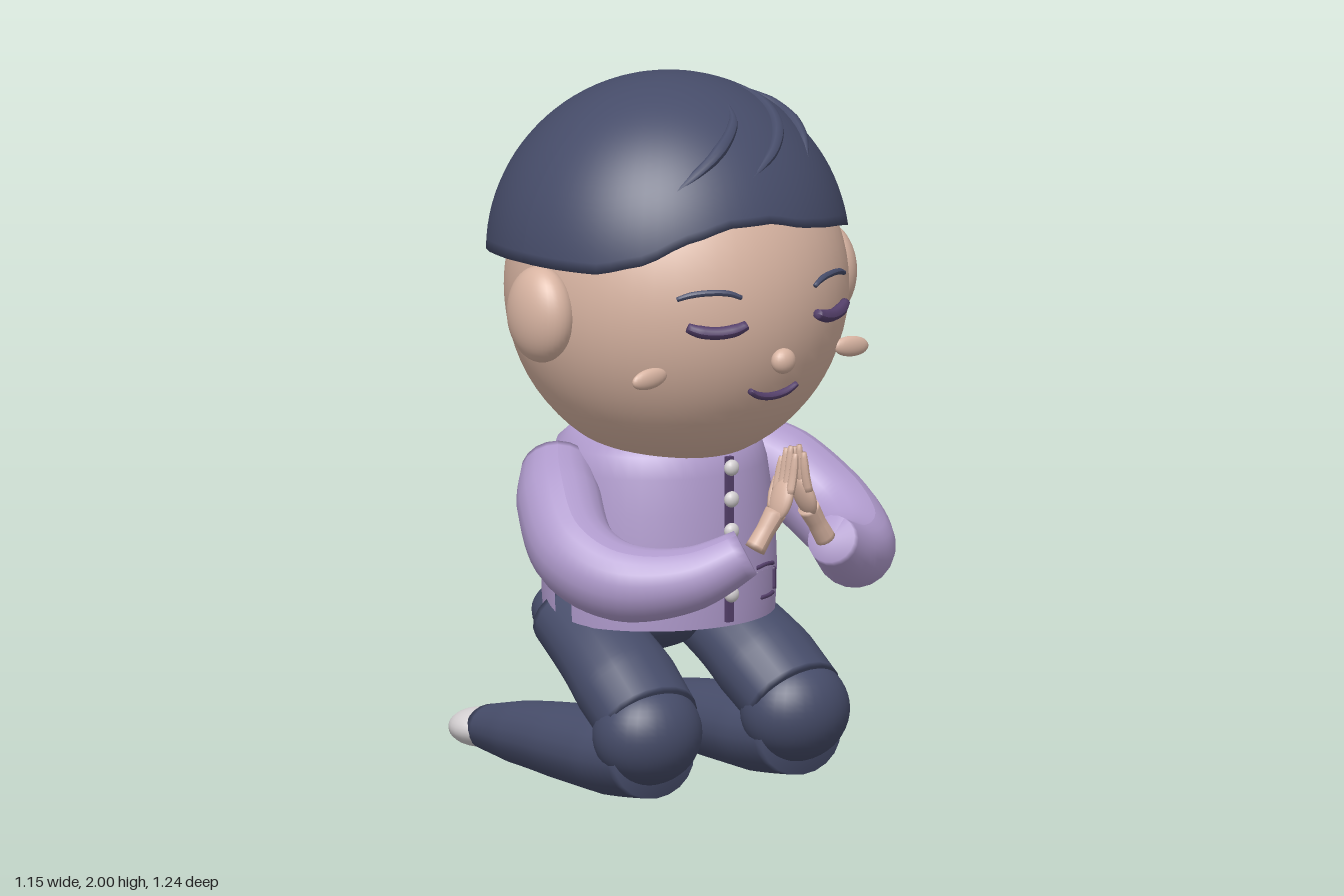
import * as THREE from 'three';

const V = (p) => new THREE.Vector3(...p);

export function createModel() {
  const model = new THREE.Group();
  const mat = (name, color, side = THREE.FrontSide) => {
    const m = new THREE.MeshStandardMaterial({ color, side });
    m.name = name;
    return m;
  };
  const skin = mat('skin', 0xd8b4a2);
  const navy = mat('navy', 0x464c69, THREE.DoubleSide);
  const lilac = mat('lilac', 0xb09bcd, THREE.DoubleSide);
  const plum = mat('plum', 0x55406b);
  const white = mat('soft white', 0xd3cfd1);

  const add = (name, geo, material, parent = model) => {
    const mesh = new THREE.Mesh(geo, material);
    mesh.name = name;
    parent.add(mesh);
    return mesh;
  };
  const ball = (name, pos, radii, material, seg = 32) => {
    const m = add(name, new THREE.SphereGeometry(1, seg, seg * 0.75), material);
    m.position.set(...pos);
    m.scale.set(...radii);
    return m;
  };
  // Tapered tube through points, with flat closed ends and optional x widening about a centre
  const limb = (name, points, radii, material, wide = 1, seg = 28, sides = 20) => {
    const curve = new THREE.CatmullRomCurve3(points.map(V));
    const geo = new THREE.TubeGeometry(curve, seg, 1, sides);
    const pos = geo.attributes.position, v = new THREE.Vector3();
    for (let i = 0; i < pos.count; i++) {
      const ring = Math.floor(i / (sides + 1));
      const end = ring === 0 || ring === seg;
      const f = (ring / seg) * (radii.length - 1), k = Math.min(Math.floor(f), radii.length - 2);
      const r = end ? 0 : THREE.MathUtils.lerp(radii[k], radii[k + 1], f - k);
      const c = curve.getPointAt(ring / seg);
      v.fromBufferAttribute(pos, i).sub(c).multiplyScalar(r);
      v.x *= wide;
      v.add(end ? curve.getPointAt(ring ? 1 - 1 / seg : 1 / seg) : c);
      pos.setXYZ(i, v.x, v.y, v.z);
    }
    geo.computeVertexNormals();
    return add(name, geo, material);
  };

  // Head
  ball('head', [0, 1.41, 0.045], [0.48, 0.5, 0.48], skin, 48);
  const faceZ = (x, y) => 0.045 + 0.48 * Math.sqrt(1 - (x / 0.48) ** 2 - ((y - 1.41) / 0.5) ** 2);
  const faceLine = (name, pts, lift, r, material) =>
    limb(name, pts.map(([x, y]) => [x, y, faceZ(x, y) + lift]), [r * 0.7, r, r, r, r * 0.7], material, 1, 20, 10);

  // Hair cap with a wavy rim, heights given every 15 degrees from the front
  const rim = [1.655, 1.625, 1.605, 1.585, 1.555, 1.535, 1.53, 1.525, 1.515, 1.5, 1.475, 1.45,
    1.44, 1.45, 1.475, 1.5, 1.515, 1.525, 1.53, 1.53, 1.53, 1.56, 1.62, 1.655];
  const rimY = (a) => {
    const f = ((a / (Math.PI * 2) + 1) % 1) * 24, k = Math.floor(f);
    return THREE.MathUtils.lerp(rim[k % 24], rim[(k + 1) % 24], THREE.MathUtils.smoothstep(f - k, 0, 1) * 0.4 + (f - k) * 0.6);
  };
  const rows = 26;
  const hair = new THREE.SphereGeometry(1, 72, rows, 0, Math.PI * 2, 0, 3);
  const hp = hair.attributes.position;
  for (let i = 0; i < hp.count; i++) {
    const row = Math.floor(i / 73), a = Math.atan2(hp.getX(i), hp.getZ(i));
    const theta = Math.acos((rimY(a) - 1.5) / 0.5) * Math.min(1, row / (rows - 1));
    const r = Math.sin(Math.min(theta, Math.PI / 2)) * (row === rows ? 0.88 : 1);
    hp.setXYZ(i, 0.51 * r * Math.sin(a), 1.5 + 0.5 * Math.cos(theta), 0.005 + 0.498 * r * Math.cos(a));
  }
  hair.computeVertexNormals();
  add('hair', hair, navy);

  // Raised locks swept over the crown
  const hairY = (x, z) => 1.5 + 0.5 * Math.sqrt(1 - (x / 0.51) ** 2 - ((z - 0.005) / 0.498) ** 2);
  [
    [[-0.27, 0.355], [-0.1, 0.355], [0.01, 0.29], [0.05, 0.21]],
    [[-0.04, 0.425], [0.1, 0.36], [0.18, 0.26], [0.2, 0.15], [0.17, 0.05]],
    [[0.23, 0.35], [0.285, 0.23], [0.295, 0.11], [0.25, 0.01]],
  ].forEach((lock) => limb('hairLock', lock.map(([x, z]) => [x, hairY(x, z) - 0.003, z]),
    [0.002, 0.015, 0.02, 0.015, 0.002], navy, 1, 24, 10));

  // Nose and mouth
  ball('nose', [0, 1.275, 0.535], [0.038, 0.036, 0.028], skin, 20);
  faceLine('mouth', [[-0.09, 1.197], [-0.05, 1.175], [0, 1.167], [0.05, 1.175], [0.09, 1.197]], 0.02, 0.011, plum);

  // Shirt body, open below, with side vents between the front and back hem panels
  const shirt = (name, pts, start = 0, length = 360) => {
    const rad = THREE.MathUtils.degToRad;
    const m = add(name, new THREE.LatheGeometry(pts.map(([r, y]) => new THREE.Vector2(r, y)), 48, rad(start), rad(length)), lilac);
    m.scale.z = 0.94;
    m.position.z = -0.035;
  };
  shirt('shirtBody', [[0.335, 0.61], [0.332, 0.7], [0.322, 0.8], [0.308, 0.9], [0.29, 0.96], [0.25, 0.995], [0.1, 1.02], [0, 1.02]]);
  const hem = [[0.33, 0.475], [0.334, 0.54], [0.335, 0.61]];
  shirt('shirtHemFront', hem, -84, 168);
  shirt('shirtHemBack', hem, 98, 164);
  add('placket', new THREE.BoxGeometry(0.022, 0.47, 0.015), plum).position.set(0, 0.725, 0.286);
  for (let i = 0; i < 5; i++) ball('button', [0, 0.57 + i * 0.09, 0.298], [0.023, 0.023, 0.018], white, 16);

  // Hips
  ball('hips', [0, 0.46, -0.17], [0.3, 0.128, 0.22], navy);

  for (const s of [1, -1]) {
    const side = s > 0 ? 'left' : 'right';
    const flip = (pts) => pts.map(([x, ...rest]) => [x * s, ...rest]);

    // Ear, closed eye, brow and cheek
    ball(side + 'Ear', [0.495 * s, 1.393, 0.07], [0.078, 0.136, 0.115], skin);
    faceLine(side + 'Eye', flip([[0.115, 1.396], [0.15, 1.381], [0.2, 1.374], [0.25, 1.381], [0.283, 1.396]]), 0.02, 0.018, plum);
    faceLine(side + 'Brow', flip([[0.12, 1.463], [0.16, 1.481], [0.21, 1.486], [0.26, 1.481], [0.3, 1.466]]), 0.008, 0.009, navy);
    const cheek = ball(side + 'Cheek', [0.352 * s, 1.244, 0.383], [0.06, 0.029, 0.018], skin, 20);
    cheek.rotation.z = -0.1 * s;

    // Sleeve
    limb(side + 'Sleeve', flip([[0.29, 0.9, -0.12], [0.39, 0.83, 0.02], [0.45, 0.72, 0.18], [0.41, 0.665, 0.33], [0.28, 0.68, 0.47], [0.13, 0.765, 0.57]]),
      [0.1, 0.12, 0.12, 0.11, 0.09, 0.065], lilac, 1, 36);

    // Hand: wrist, palm, fingers and thumb
    limb(side + 'Wrist', flip([[0.13, 0.75, 0.565], [0.09, 0.81, 0.57], [0.05, 0.87, 0.575]]), [0.03, 0.027, 0.032], skin, 1, 12, 14);
    const palm = ball(side + 'Palm', [0.04 * s, 0.895, 0.578], [0.022, 0.065, 0.044], skin, 20);
    palm.rotation.z = 0.35 * s;
    [1.02, 1.05, 1.06, 1.04].forEach((top, i) => {
      const z = 0.545 + i * 0.021;
      limb(side + 'Finger', flip([[0.036, 0.9, z], [0.022, 0.96, z], [0.013, top, z + 0.002]]), [0.013, 0.013, 0.012, 0.006], skin, 1, 10, 10);
    });
    limb(side + 'Thumb', flip([[0.06, 0.86, 0.56], [0.035, 0.91, 0.535], [0.018, 0.96, 0.53]]), [0.014, 0.014, 0.007], skin, 1, 10, 10);

    // Pocket outline hugging the shirt
    const onShirt = ([x, y]) => [x * s, y, -0.033 + 0.315 * Math.sqrt(1 - (x / 0.335) ** 2)];
    [
      [[0.105, 0.622], [0.16, 0.625], [0.22, 0.615]],
      [[0.13, 0.535], [0.175, 0.533], [0.215, 0.535]],
      [[0.215, 0.535], [0.215, 0.575], [0.215, 0.612]],
    ].forEach((line) => limb(side + 'PocketEdge', line.map(onShirt), [0.006, 0.006], plum, 1, 10, 8));

    // Kneeling leg and shoe
    limb(side + 'Thigh', flip([[0.21, 0.47, -0.17], [0.235, 0.37, 0.05], [0.255, 0.22, 0.27]]), [0.105, 0.118, 0.13, 0.125], navy, 1.2);
    ball(side + 'Knee', [0.258 * s, 0.2, 0.25], [0.16, 0.145, 0.14], navy);
    limb(side + 'Shin', flip([[0.256, 0.135, 0.31], [0.256, 0.122, 0.15], [0.252, 0.11, -0.2], [0.24, 0.085, -0.53]]),
      [0.11, 0.118, 0.108, 0.09, 0.058], navy, 1.25);
    ball(side + 'Shoe', [0.245 * s, 0.082, -0.53], [0.09, 0.054, 0.092], white, 24);
  }
  return model;
}
